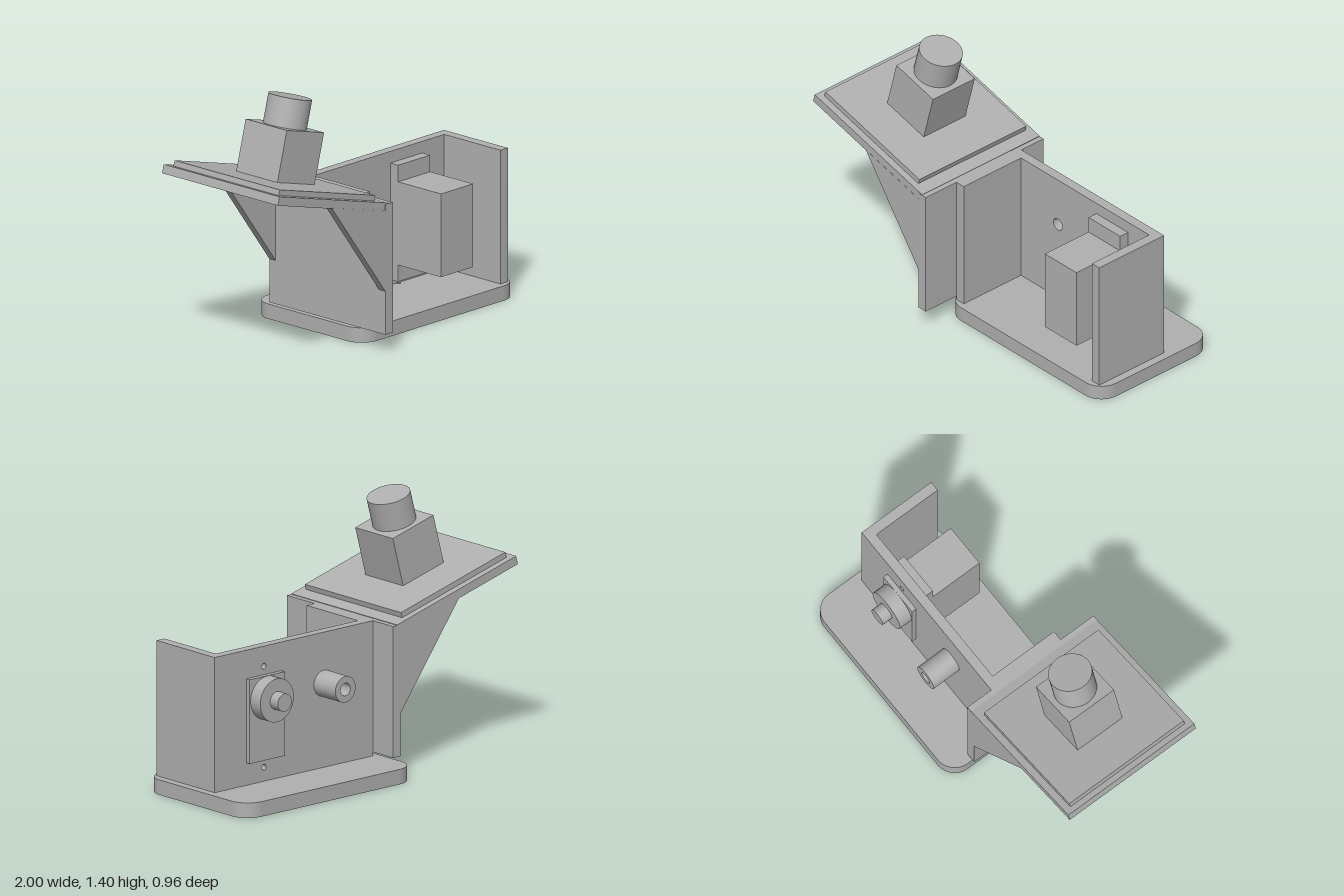
import * as THREE from 'three';
import { toCreasedNormals } from 'three/addons/utils/BufferGeometryUtils.js';

export function createModel() {
  const model = new THREE.Group();
  const grey = new THREE.MeshStandardMaterial({ color: 0xb0b0b0 });
  grey.name = 'plain grey';

  const add = (name, geometry, parent = model) => {
    const mesh = new THREE.Mesh(geometry, grey);
    mesh.name = name;
    parent.add(mesh);
    return mesh;
  };
  // Box given by its two extreme corners
  const box = (name, x0, x1, y0, y1, z0, z1, parent) =>
    add(name, new THREE.BoxGeometry(x1 - x0, y1 - y0, z1 - z0), parent)
      .position.set((x0 + x1) / 2, (y0 + y1) / 2, (z0 + z1) / 2);
  const rect = (x0, x1, y0, y1) => new THREE.Shape([[x0, y0], [x1, y0], [x1, y1], [x0, y1]]
    .map(p => new THREE.Vector2(...p)));
  const circle = (x, y, r) => new THREE.Path().absarc(x, y, r, 0, Math.PI * 2, true);
  const extrude = (shape, depth) => toCreasedNormals(
    new THREE.ExtrudeGeometry(shape, { depth, bevelEnabled: false, curveSegments: 20 }), 0.6);
  // Shape drawn in x and -z, laid flat and raised from y0 upwards
  const flat = (shape, depth, y0) => extrude(shape, depth).rotateX(-Math.PI / 2).translate(0, y0, 0);

  // Base plate with rounded corners and a row of three holes
  const [bx0, bx1, by0, by1, r] = [-0.175, 1, -0.30, 0.48, 0.11];
  const base = new THREE.Shape();
  base.absarc(bx1 - r, by0 + r, r, -Math.PI / 2, 0);
  base.absarc(bx1 - r, by1 - r, r, 0, Math.PI / 2);
  base.absarc(bx0 + r, by1 - r, r, Math.PI / 2, Math.PI);
  base.absarc(bx0 + r, by0 + r, r, Math.PI, Math.PI * 1.5);
  base.closePath();
  base.holes.push(circle(0.41, 0.135, 0.027), circle(0.27, 0.135, 0.016), circle(0.55, 0.135, 0.016));
  add('basePlate', flat(base, 0.08, 0));

  // U-shaped housing: drilled back wall and two side walls
  const back = rect(-0.138, 0.955, 0.08, 0.803);
  back.holes.push(circle(0.2, 0.53, 0.034), circle(0.615, 0.695, 0.016), circle(0.615, 0.155, 0.016));
  add('backWall', extrude(back, 0.053).translate(0, 0, -0.188));
  box('rightSideWall', -0.138, -0.082, 0.08, 0.803, -0.135, 0.265);
  box('leftSideWall', 0.9, 0.955, 0.08, 0.803, -0.135, 0.265);

  // Hollow bushing behind the back wall
  const ring = new THREE.Shape().absarc(0.2, 0.53, 0.07, 0, Math.PI * 2);
  ring.holes.push(circle(0.2, 0.53, 0.034));
  add('bushing', extrude(ring, 0.167).translate(0, 0, -0.355));

  // Motor with mounting flange, output disc and shaft
  const motor = new THREE.Group();
  motor.name = 'motor';
  model.add(motor);
  box('motorBody', 0.495, 0.737, 0.2, 0.65, -0.215, 0.225, motor);
  box('motorFlange', 0.495, 0.737, 0.11, 0.74, -0.135, -0.08, motor);
  const disc = (name, radius, z0, z1) =>
    add(name, new THREE.CylinderGeometry(radius, radius, z1 - z0, 40).rotateX(Math.PI / 2), motor)
      .position.set(0.615, 0.533, (z0 + z1) / 2);
  disc('outputDisc', 0.116, -0.29, -0.215);
  disc('outputShaft', 0.048, -0.35, -0.29);

  // Upright plate and two triangular gussets carrying the tilted tray
  box('uprightPlate', -0.195, -0.138, 0.1, 0.803, -0.343, 0.48);
  const gusset = new THREE.Shape([[-0.195, 0.335], [-0.195, 0.77], [-0.598, 0.876]]
    .map(p => new THREE.Vector2(...p)));
  for (const z of [-0.343, 0.435]) add('gusset', extrude(gusset, 0.045).translate(0, 0, z));

  // Tilted tray: open frame, panel, block and round cap
  const tray = new THREE.Group();
  tray.name = 'tiltedTray';
  tray.position.set(-0.585, 0.949, 0.068);
  tray.rotation.z = -Math.PI / 12;
  model.add(tray);
  const frame = rect(-0.411, 0.44, -0.411, 0.411);
  frame.holes.push(rect(-0.3, 0.29, -0.3, 0.3));
  for (const x of [-0.345, 0.335])
    for (const y of [-0.34, 0.34]) frame.holes.push(circle(x, y, 0.016));
  add('trayFrame', flat(frame, 0.047, -0.077), tray);
  box('trayPanel', -0.377, 0.369, -0.03, 0, -0.373, 0.373, tray);
  box('cameraBlock', -0.145, 0.145, 0, 0.275, -0.146, 0.146, tray);
  add('roundCap', new THREE.CylinderGeometry(0.115, 0.115, 0.16, 48), tray).position.y = 0.352;

  return model;
}
